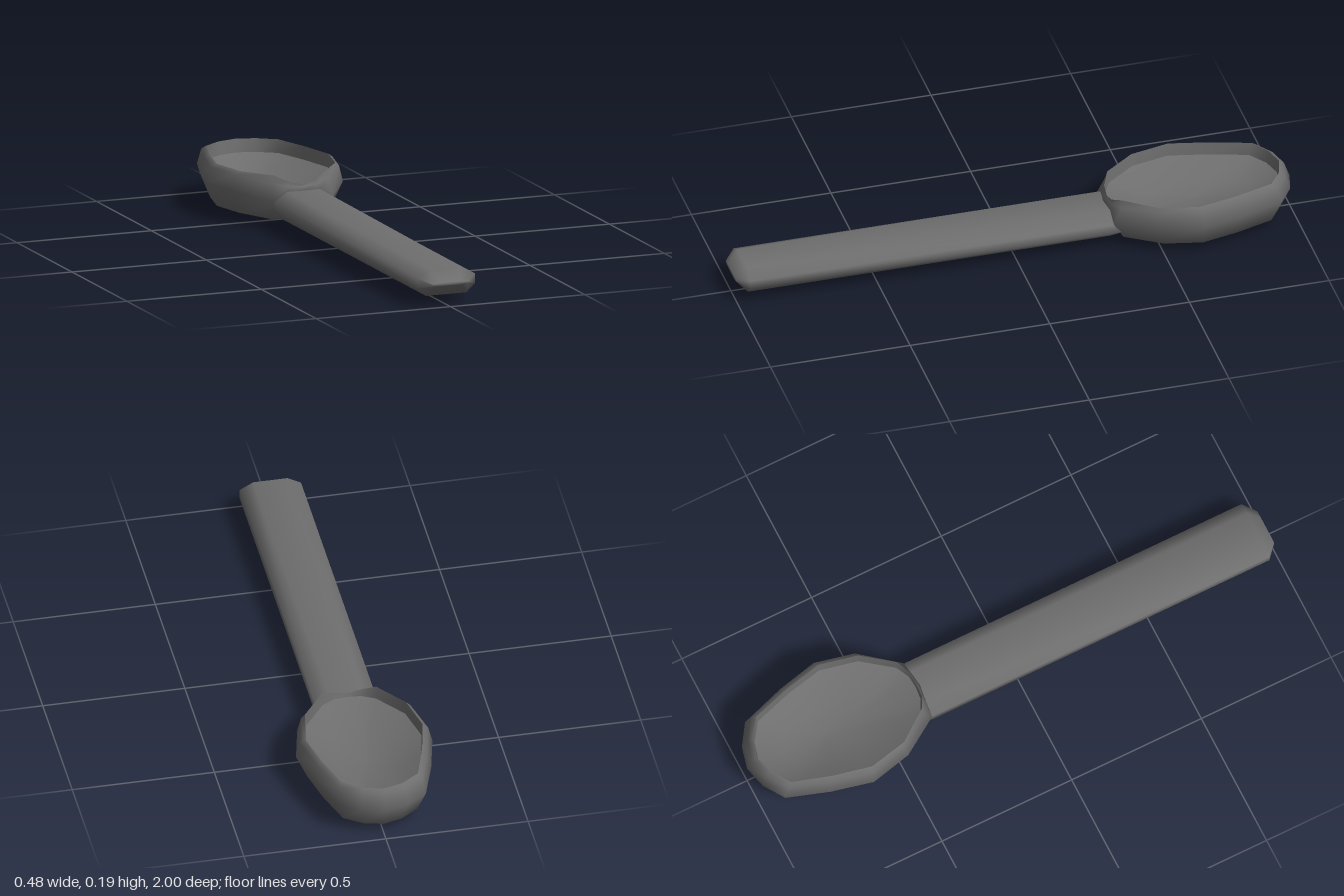
import * as THREE from 'three';

// Skin a list of closed rings (equal point counts) with smooth normals
function loft(rings, name, material) {
  const n = rings[0].length, index = [];
  for (let i = 0; i < rings.length - 1; i++) {
    for (let j = 0; j < n; j++) {
      const k = (j + 1) % n;
      const a = i * n + j, b = i * n + k, c = a + n, d = b + n;
      index.push(a, c, b, b, c, d);
    }
  }
  const geometry = new THREE.BufferGeometry();
  geometry.setAttribute('position', new THREE.Float32BufferAttribute(rings.flat(2), 3));
  geometry.setIndex(index);
  geometry.computeVertexNormals();
  const mesh = new THREE.Mesh(geometry, material);
  mesh.name = name;
  return mesh;
}

// Half plan of the bowl, tip to neck, mirrored into a full loop
const half = [[0, -1], [0.08, -0.98], [0.155, -0.93], [0.205, -0.78], [0.24, -0.63],
  [0.205, -0.48], [0.11, -0.34], [0.055, -0.335], [0, -0.33]];
const plan = [...half, ...half.slice(1, -1).reverse().map(([x, z]) => [-x, z])];

// Plan scaled in width and fitted between a back and a front z.
// neck gives the heights of the corner, middle and centre points at the handle;
// setback moves the neck corners towards the tip.
function bowlRing(y, width, back, front, neck = [y, y, y], setback = 0) {
  return plan.map(([x, z], i) => {
    const step = Math.abs(i - 8);
    return [
      x * width,
      step < 3 ? neck[2 - step] : y,
      back + (front - back) * (z + 1) / 0.67 - (step === 2 ? setback : 0),
    ];
  });
}

// Handle cross-section, anticlockwise from the front
const section = [[0.108, 0.065], [0.108, 0.1], [0.06, 0.126], [-0.06, 0.126],
  [-0.108, 0.1], [-0.108, 0.065], [-0.075, 0.036], [0.075, 0.036]];

function handleRing(z, width, height, lift = 0) {
  return section.map(([x, y]) =>
    [x * width, 0.081 + (y - 0.081) * height + (y > 0.11 ? lift : 0), z]);
}

export function createModel() {
  const group = new THREE.Group();
  group.name = 'spoon';
  const grey = new THREE.MeshStandardMaterial({ color: 0x6e6e6e });
  grey.name = 'dark grey';

  // Bowl outside, from the underside up to the rim, running into the handle at the neck
  const rim = bowlRing(0.187, 0.865, -0.962, -0.345, [0.187, 0.165, 0.153], 0.02);
  group.add(loft([
    bowlRing(0, 0, -0.7, -0.7),
    bowlRing(0, 0.42, -0.9, -0.5),
    bowlRing(0.035, 0.84, -0.96, -0.37),
    bowlRing(0.12, 1, -1, -0.332, [0.1, 0.13, 0.134]),
    bowlRing(0.175, 0.94, -0.98, -0.345, [0.16, 0.15, 0.145], 0.016),
    rim,
  ], 'bowlOutside', grey));

  // Upright inner wall and hollow floor
  const floorEdge = bowlRing(0.14, 0.85, -0.955, -0.35, [0.14, 0.14, 0.14], 0.02);
  group.add(loft([rim, floorEdge], 'bowlInnerWall', grey));
  group.add(loft([
    floorEdge,
    bowlRing(0.095, 0.45, -0.86, -0.48),
    bowlRing(0.09, 0, -0.68, -0.68),
  ], 'bowlFloor', grey));

  // Long flat handle with a bevelled end, rising slightly to the neck
  group.add(loft([
    handleRing(1, 0, 0),
    handleRing(1, 0.6, 0.15),
    handleRing(0.96, 1, 1),
    handleRing(-0.335, 1, 1, 0.008),
    handleRing(-0.39, 0.95, 0.9),
  ], 'handle', grey));

  return group;
}
